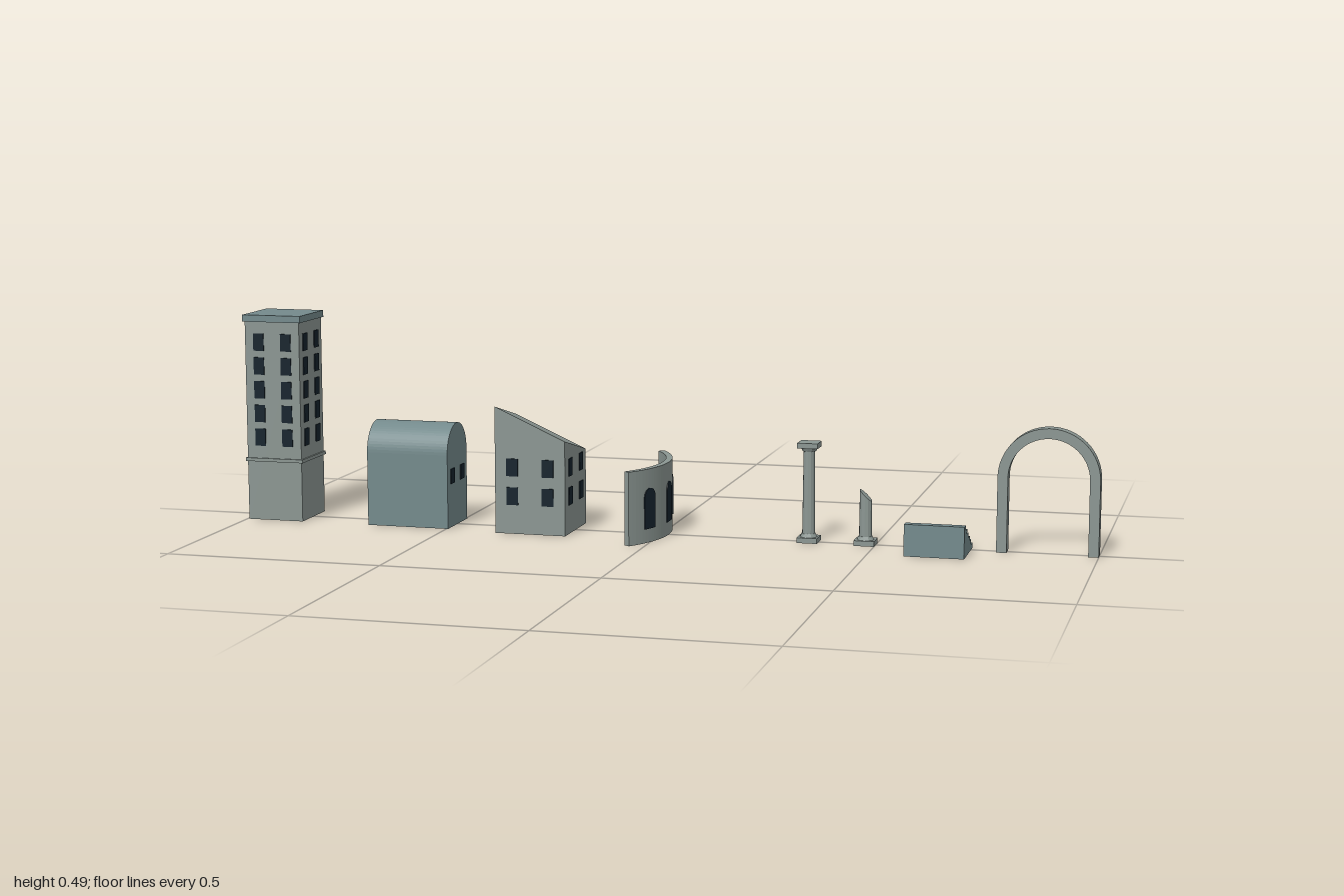
import * as THREE from 'three';

const mat = (color) => new THREE.MeshStandardMaterial({ color, flatShading: true });
const stone = mat(0x8b9692), slate = mat(0x748a8c), dark = mat(0x14222c);

function add(parent, name, geometry, material, x = 0, y = 0, z = 0) {
  const mesh = new THREE.Mesh(geometry, material);
  mesh.name = name;
  mesh.position.set(x, y, z);
  parent.add(mesh);
  return mesh;
}

function group(parent, name, x) {
  const g = new THREE.Group();
  g.name = name;
  g.position.x = x;
  parent.add(g);
  return g;
}

const box = (w, h, d) => new THREE.BoxGeometry(w, h, d);
const extrude = (shape, depth) =>
  new THREE.ExtrudeGeometry(shape, { depth, bevelEnabled: false, curveSegments: 16 });

// Rectangle with a half-round top, standing on y = 0
function archShape(halfWidth, spring) {
  const s = new THREE.Shape();
  s.moveTo(-halfWidth, 0);
  s.lineTo(halfWidth, 0);
  s.lineTo(halfWidth, spring);
  s.absarc(0, spring, halfWidth, 0, Math.PI, false);
  s.lineTo(-halfWidth, 0);
  return s;
}

// Pairs of windows on the chosen sides (0 front, 1 +x, 2 back, 3 -x)
function windows(parent, sides, rows, offset, distX, distZ, w = 0.026, h = 0.041) {
  for (const side of sides) {
    const face = new THREE.Group();
    face.name = 'windows';
    face.rotation.y = side * Math.PI / 2;
    parent.add(face);
    for (const y of rows) for (const s of [-1, 1]) {
      add(face, 'window', box(w, h, 0.004), dark, s * offset, y, side % 2 ? distX : distZ);
    }
  }
}

function addTower(root) {
  const g = group(root, 'tower', -0.9275);
  add(g, 'towerBody', box(0.136, 0.472, 0.136), stone, 0, 0.236);
  add(g, 'ledge', box(0.144, 0.008, 0.144), stone, 0, 0.144);
  add(g, 'towerRoof', box(0.145, 0.016, 0.145), slate, 0, 0.48);
  const rows = [0, 1, 2, 3, 4].map((i) => 0.198 + i * 0.0565);
  windows(g, [0, 1, 2, 3], rows, 0.034, 0.068, 0.068);
}

function addVaultedHouse(root) {
  const g = group(root, 'vaultedHouse', -0.595);
  const body = extrude(archShape(0.068, 0.173), 0.198).translate(0, 0, -0.099).rotateY(Math.PI / 2);
  add(g, 'vaultedBody', body, slate);
  windows(g, [1, 3], [0.12], 0.034, 0.099, 0.068, 0.026, 0.035);
  add(g, 'door', extrude(archShape(0.026, 0.076), 0.004), dark, 0, 0.002, -0.07);
}

function addSlopedHouse(root) {
  const g = group(root, 'slopedHouse', -0.29);
  // The roof plane falls toward +x and toward the back
  const body = box(0.168, 0.2, 0.168).translate(0, 0.1, 0);
  const p = body.attributes.position;
  for (let i = 0; i < p.count; i++) {
    if (p.getY(i) > 0.1) {
      p.setY(i, 0.2365 - (p.getX(i) / 0.168) * 0.075 + (p.getZ(i) / 0.168) * 0.042);
    }
  }
  body.computeVertexNormals();
  add(g, 'slopedBody', body, stone);
  windows(g, [0, 1, 2, 3], [0.088, 0.155], 0.0425, 0.084, 0.084, 0.028);
}

function addCurvedWall(root) {
  const R = 0.266, inner = 0.251, a = 0.636;
  const g = group(root, 'curvedWall', 0.018 - R);
  const s = new THREE.Shape();
  s.absarc(0, 0, R, -a, a, false);
  s.absarc(0, 0, inner, a, -a, true);
  s.closePath();
  add(g, 'wall', extrude(s, 0.169).rotateX(-Math.PI / 2), stone);
  for (const angle of [-0.381, 0, 0.381]) {
    const pivot = new THREE.Group();
    pivot.name = 'archedWindow';
    pivot.rotation.y = Math.PI / 2 + angle;
    g.add(pivot);
    add(pivot, 'windowPanel', extrude(archShape(0.0195, 0.0735), 0.005), dark, 0, 0.032, R - 0.003);
  }
}

function addColumn(root) {
  const g = group(root, 'column', 0.346);
  for (const [name, y, dir] of [['base', 0.006, 1], ['capital', 0.223, -1]]) {
    add(g, name, box(0.047, 0.012, 0.047), stone, 0, y);
    const ring = new THREE.CylinderGeometry(dir > 0 ? 0.016 : 0.02, dir > 0 ? 0.02 : 0.016, 0.008, 12);
    add(g, name + 'Ring', ring, stone, 0, y + dir * 0.01);
  }
  add(g, 'shaft', new THREE.CylinderGeometry(0.013, 0.015, 0.205, 12), stone, 0, 0.1145);
}

function addBrokenColumn(root) {
  const g = group(root, 'brokenColumn', 0.477);
  add(g, 'base', box(0.047, 0.012, 0.047), stone, 0, 0.006);
  add(g, 'baseRing', new THREE.CylinderGeometry(0.016, 0.02, 0.008, 12), stone, 0, 0.016);
  // Shaft with a slanted break
  const shaft = new THREE.CylinderGeometry(0.014, 0.015, 0.1, 12).translate(0, 0.062, 0);
  const p = shaft.attributes.position;
  for (let i = 0; i < p.count; i++) {
    if (p.getY(i) > 0.1) p.setY(i, 0.113 - p.getX(i) * 0.95);
  }
  shaft.computeVertexNormals();
  add(g, 'brokenShaft', shaft, stone);
}

function addStairs(root) {
  const g = group(root, 'stairs', 0.649);
  const steps = 6, run = 0.0222, rise = 0.012;
  // Side profile, rising toward +z
  const s = new THREE.Shape();
  s.moveTo(0.111, 0);
  s.lineTo(0.111, steps * rise);
  for (let i = steps; i > 0; i--) {
    const z = 0.111 - (steps - i + 1) * run;
    s.lineTo(z, i * rise);
    s.lineTo(z, (i - 1) * rise);
  }
  s.closePath();
  add(g, 'steps', extrude(s, 0.134).translate(0, 0, -0.067).rotateY(-Math.PI / 2), slate);
}

function addArch(root) {
  const g = group(root, 'archway', 0.887);
  const s = new THREE.Shape();
  s.moveTo(0.09, 0);
  s.lineTo(0.113, 0);
  s.lineTo(0.113, 0.17);
  s.absarc(0, 0.17, 0.113, 0, Math.PI, false);
  s.lineTo(-0.113, 0);
  s.lineTo(-0.09, 0);
  s.lineTo(-0.09, 0.17);
  s.absarc(0, 0.17, 0.09, Math.PI, 0, true);
  s.lineTo(0.09, 0);
  add(g, 'arch', extrude(s, 0.033).translate(0, 0, -0.0165), stone);
}

export function createModel() {
  const root = new THREE.Group();
  root.name = 'buildingSet';
  addTower(root);
  addVaultedHouse(root);
  addSlopedHouse(root);
  addCurvedWall(root);
  addColumn(root);
  addBrokenColumn(root);
  addStairs(root);
  addArch(root);
  return root;
}
